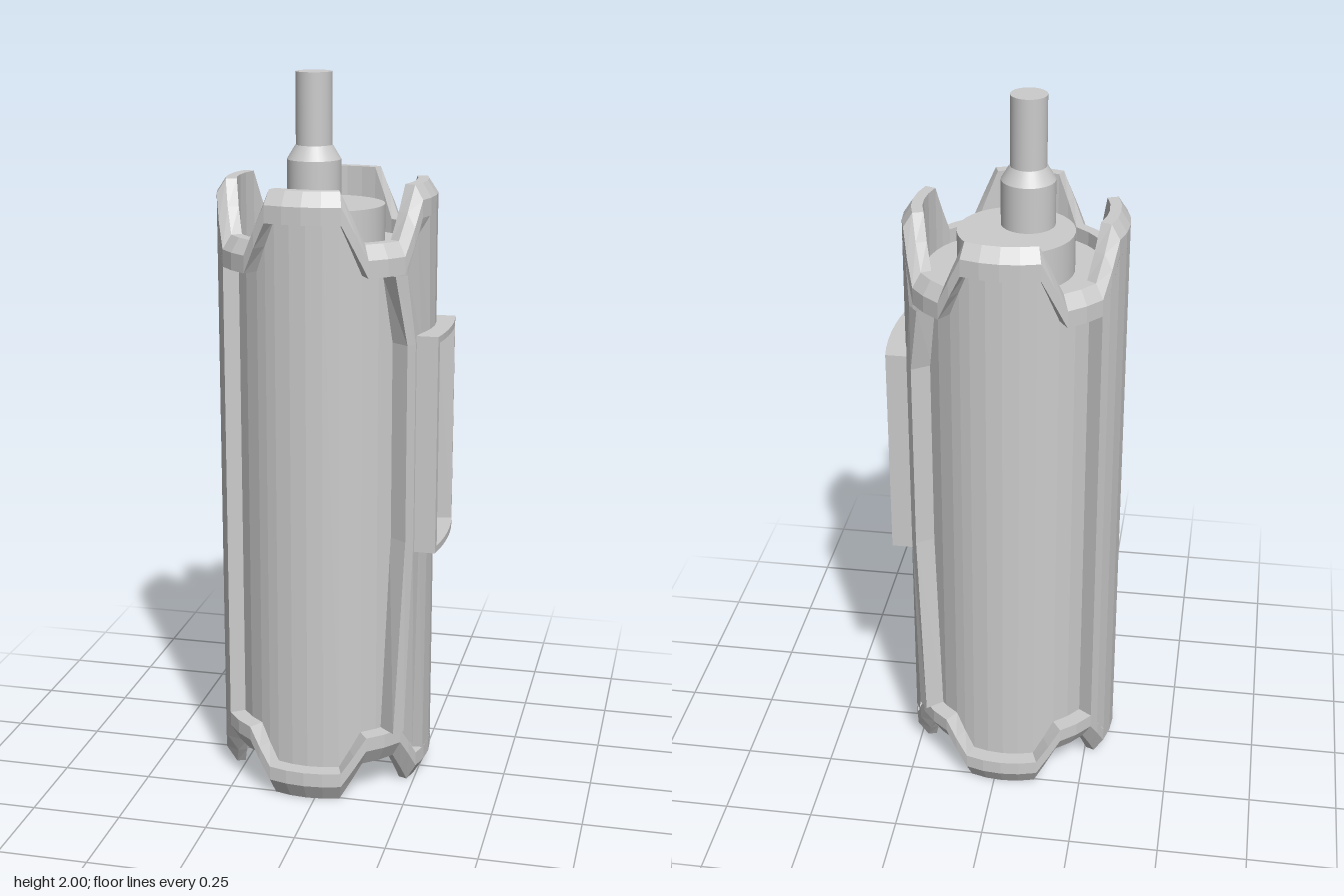
import * as THREE from 'three';

const CX = -0.024; // axis of the canister
const RAD = Math.PI / 180;
const mat = new THREE.MeshStandardMaterial({ color: 0xcccccc, flatShading: true, side: THREE.DoubleSide });
const smooth = new THREE.MeshStandardMaterial({ color: 0xcccccc });

// signed angle in degrees to the nearest of the four prongs
const toProng = a => ((a % 90) + 135) % 90 - 45;
// 1 on a prong, 0 in a notch, sloping between
const prong = a => THREE.MathUtils.clamp((34 - Math.abs(toProng(a))) / 14, 0, 1);
const topEdge = a => 1.575 + 0.14 * prong(a);
const bottomEdge = a => 0.1 - 0.1 * prong(a);

// surface through columns of [angle, radius, height] points, each column running downwards
function sweep(name, columns) {
  const pos = [], index = [], n = columns[0].length;
  for (const col of columns)
    for (const [a, r, y] of col) pos.push(CX + r * Math.sin(a * RAD), y, r * Math.cos(a * RAD));
  for (let i = 0; i < columns.length - 1; i++)
    for (let j = 0; j < n - 1; j++) {
      const p = i * n + j, q = p + n;
      index.push(p, p + 1, q + 1, p, q + 1, q);
    }
  const g = new THREE.BufferGeometry();
  g.setAttribute('position', new THREE.Float32BufferAttribute(pos, 3));
  g.setIndex(index);
  g.computeVertexNormals();
  const m = new THREE.Mesh(g, mat);
  m.name = name;
  return m;
}

// wall with raised, chamfered, castellated rims at both ends
function shell() {
  const columns = [];
  for (let k = 0; k < 4; k++)
    for (const d of [-34, -27, -20, -10, 0, 10, 20, 27, 34, 45]) columns.push(d + 90 * k);
  columns.push(columns[0] + 360);
  return sweep('shell', columns.map(a => {
    const t = topEdge(a), b = bottomEdge(a);
    return [
      [0.245, 1.5], [0.245, t], [0.275, t], [0.3, t - 0.038], [0.3, t - 0.085], [0.255, t - 0.085],
      [0.255, b + 0.09], [0.3, b + 0.09], [0.3, b + 0.05], [0.27, b], [0.245, b], [0.245, 0.2],
    ].map(([r, y]) => [a, r, y]);
  }));
}

// full-height raised strip joining the rims on one side
function strip(name, centre, halfWidths, edgeRadius) {
  const steps = [-1, -1, -0.82, -0.58, -0.29, 0, 0.29, 0.58, 0.82, 1, 1];
  return sweep(name, steps.map((s, i) => {
    const r = i === 0 || i === steps.length - 1 ? 0.25
      : THREE.MathUtils.lerp(0.3, edgeRadius, THREE.MathUtils.clamp((Math.abs(s) - 0.58) / 0.24, 0, 1));
    return halfWidths.map((w, row) => {
      const a = centre + s * w;
      return [a, r, [topEdge(a) - 0.085, 1.3, 0.75, bottomEdge(a) + 0.09][row]];
    });
  }));
}

function cylinder(name, rTop, rBottom, y0, y1, x = CX, z = 0) {
  const m = new THREE.Mesh(new THREE.CylinderGeometry(rTop, rBottom, y1 - y0, 32), smooth);
  m.position.set(x, (y0 + y1) / 2, z);
  m.name = name;
  return m;
}

// open box on the right-hand strip, with a bowed rim
function sideFrame() {
  const g = new THREE.Group();
  g.name = 'sideFrame';
  const plate = new THREE.Shape();
  plate.moveTo(0.235, -0.138);
  plate.lineTo(0.31, -0.138);
  plate.quadraticCurveTo(0.334, 0, 0.31, 0.138);
  plate.lineTo(0.235, 0.138);
  const plateGeo = new THREE.ExtrudeGeometry(plate, { depth: 0.018, bevelEnabled: false, curveSegments: 6 });
  plateGeo.rotateX(-Math.PI / 2);
  for (const y of [0.712, 1.302]) {
    const m = new THREE.Mesh(plateGeo, mat);
    m.position.y = y;
    m.name = 'framePlate';
    g.add(m);
  }
  // side walls thicken towards the body
  for (const s of [-1, 1]) {
    const wall = new THREE.Shape();
    wall.moveTo(0.235, s * 0.138);
    wall.lineTo(0.31, s * 0.138);
    wall.lineTo(0.312, s * 0.122);
    wall.lineTo(0.262, s * 0.115);
    wall.lineTo(0.235, s * 0.115);
    const m = new THREE.Mesh(new THREE.ExtrudeGeometry(wall, { depth: 0.6, bevelEnabled: false }), mat);
    m.rotation.x = -Math.PI / 2;
    m.position.y = 0.715;
    m.name = 'frameWall';
    g.add(m);
  }
  return g;
}

export function createModel() {
  const model = new THREE.Group();
  model.name = 'canister';
  model.add(
    shell(),
    strip('leftStrip', 270, [34, 34, 34, 34], 0.3),
    strip('rightStrip', 90, [42, 34, 34, 41], 0.311),
    cylinder('core', 0.248, 0.248, 0.13, 1.535),
    cylinder('cap', 0.157, 0.157, 1.53, 1.645),
    cylinder('rodBase', 0.073, 0.073, 1.64, 1.77, -0.049, 0.048),
    cylinder('rodCollar', 0.05, 0.073, 1.77, 1.808, -0.049, 0.048),
    cylinder('rod', 0.049, 0.049, 1.8, 2, -0.049, 0.048),
    sideFrame(),
  );
  return model;
}
